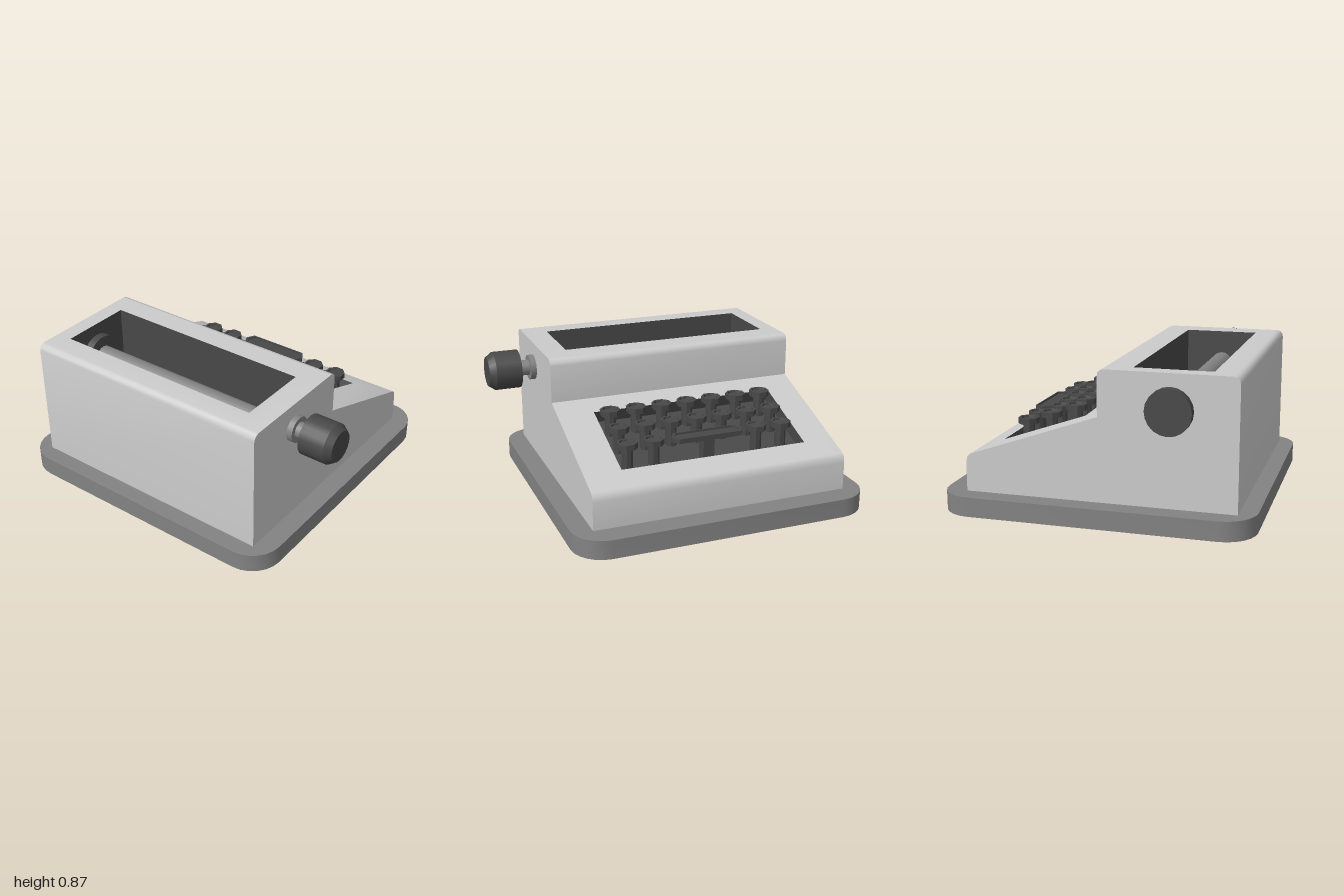
import * as THREE from 'three';
import { mergeGeometries, toCreasedNormals } from 'three/addons/utils/BufferGeometryUtils.js';

const mat = (color, side = THREE.FrontSide) => new THREE.MeshStandardMaterial({ color, side });
const V2 = (p) => new THREE.Vector2(p[0], p[1]);

export function createModel() {
  const model = new THREE.Group();
  const shell = mat(0xcccccc);
  const mid = mat(0x838383);
  const dark = mat(0x484848);
  const lining = mat(0x484848, THREE.DoubleSide);
  const keyMat = mat(0x484848);
  keyMat.flatShading = true;

  const add = (name, geo, material, x = 0, y = 0, z = 0, parent = model) => {
    const mesh = new THREE.Mesh(geo, material);
    mesh.name = name;
    mesh.position.set(x, y, z);
    parent.add(mesh);
    return mesh;
  };

  // Base plate with rounded corners
  const w = 0.91, d = 0.912, r = 0.19;
  const plate = new THREE.Shape();
  plate.absarc(w - r, d - r, r, 0, Math.PI / 2);
  plate.absarc(r - w, d - r, r, Math.PI / 2, Math.PI);
  plate.absarc(r - w, r - d, r, Math.PI, Math.PI * 1.5);
  plate.absarc(w - r, r - d, r, Math.PI * 1.5, Math.PI * 2);
  const plateGeo = new THREE.ExtrudeGeometry(plate, { depth: 0.115, bevelEnabled: false, curveSegments: 3 });
  add('basePlate', toCreasedNormals(plateGeo.rotateX(-Math.PI / 2), 0.7), mid, -0.09, 0, 0);

  // Housing: side profile as (z, y), from the tall end over to the low end
  const xL = -0.88, xR = 0.70;
  const profile = [
    [0.81, 0.115], [0.81, 0.833], [0.805, 0.853], [0.79, 0.868], [0.77, 0.873],
    [0.06, 0.873], [0.04, 0.868], [0.025, 0.853], [0.02, 0.833], [0.02, 0.605],
    [-0.745, 0.337], [-0.762, 0.32], [-0.77, 0.285], [-0.77, 0.115],
  ];
  // Openings, keyed by profile segment: x range and z range
  const openings = { 4: [-0.78, 0.55, 0.65, 0.20], 9: [-0.69, 0.475, -0.11, -0.61] };
  const rect = (Type, x0, x1, s0, s1) =>
    new Type([[x0, s0], [x1, s0], [x1, s1], [x0, s1]].map(V2));

  const skin = [];
  for (let i = 0; i < profile.length - 1; i++) {
    const [az, ay] = profile[i], [bz, by] = profile[i + 1];
    const along = new THREE.Vector3(0, by - ay, bz - az);
    const length = along.length();
    along.normalize();
    const panel = rect(THREE.Shape, xL, xR, 0, length);
    if (openings[i]) {
      const [x0, x1, z0, z1] = openings[i];
      panel.holes.push(rect(THREE.Path, x0, x1, (z0 - az) / along.z, (z1 - az) / along.z));
    }
    const across = new THREE.Vector3(1, 0, 0);
    const basis = new THREE.Matrix4().makeBasis(across, along, across.clone().cross(along));
    skin.push(new THREE.ShapeGeometry(panel).applyMatrix4(basis.setPosition(0, ay, az)));
  }
  for (const s of [1, -1]) {
    const side = new THREE.ShapeGeometry(new THREE.Shape(profile.map(([z, y]) => V2([-s * z, y]))));
    skin.push(side.rotateY(s * Math.PI / 2).translate(s > 0 ? xR : xL, 0, 0));
  }
  add('housing', toCreasedNormals(mergeGeometries(skin), 0.7), shell);

  // Open-topped lining of each opening
  const well = (name, width, depth, length, x, y, z, tilt) => {
    const box = new THREE.BoxGeometry(width, depth, length).translate(0, -depth / 2, 0);
    const index = Array.from(box.index.array);
    index.splice(12, 6); // drop the lid
    box.setIndex(index);
    add(name, box, lining, x, y, z).rotation.x = tilt;
  };
  const slope = Math.atan2(0.268, 0.765);
  well('rollerWell', 1.33, 0.45, 0.45, -0.115, 0.873, 0.425, 0);
  well('keyWell', 1.165, 0.08, 0.5 / Math.cos(slope), -0.1075, 0.472, -0.36, -slope);

  // Roller, its end disc and the turning knob, all lying along x
  const rod = (name, x0, x1, r0, r1, y, material) => add(name,
    new THREE.CylinderGeometry(r1, r0, x1 - x0, 20).rotateZ(-Math.PI / 2),
    material, (x0 + x1) / 2, y, 0.43);
  rod('roller', -0.76, 0.55, 0.066, 0.066, 0.667, mid);
  rod('rollerDisc', -0.93, -0.73, 0.132, 0.132, 0.667, dark);
  rod('knobCollar', 0.69, 0.735, 0.078, 0.078, 0.715, mid);
  rod('knobShaft', 0.73, 0.81, 0.048, 0.048, 0.715, mid);
  rod('knobGrip', 0.80, 0.96, 0.12, 0.12, 0.715, dark);
  rod('knobTip', 0.96, 1.0, 0.12, 0.092, 0.715, dark);

  // Keys: eight-sided dished caps on stems
  const keyGeo = new THREE.LatheGeometry([
    [0.034, -0.165], [0.034, -0.035], [0.062, -0.035], [0.062, 0],
    [0.048, 0], [0.046, -0.012], [0, -0.012],
  ].map(V2), 8, Math.PI / 8);
  const keys = new THREE.Group();
  keys.name = 'keys';
  model.add(keys);
  [[-0.198, 0.6], [-0.353, 0.548], [-0.497, 0.5]].forEach(([z, y], row) => {
    for (let col = 0; col < 7; col++) {
      if (row === 2 && col > 1 && col < 5) continue; // room for the long bar
      add('key', keyGeo, keyMat, -0.583 + col * 0.164, y, z, keys);
    }
  });

  // Long bar with pointed ends, a raised rim and a post
  const hex = (Type, half, tip, depth) => new Type([
    [-half, 0], [-half + tip, -depth], [half - tip, -depth],
    [half, 0], [half - tip, depth], [-half + tip, depth],
  ].map(V2));
  const flat = (shape, depth) =>
    new THREE.ExtrudeGeometry(shape, { depth, bevelEnabled: false }).rotateX(-Math.PI / 2);
  const rim = hex(THREE.Shape, 0.225, 0.03, 0.054);
  rim.holes.push(hex(THREE.Path, 0.208, 0.027, 0.048));
  const bar = new THREE.Group();
  bar.name = 'spaceBar';
  bar.position.set(-0.091, 0, -0.515);
  model.add(bar);
  add('barPlate', flat(hex(THREE.Shape, 0.225, 0.03, 0.054), 0.018), keyMat, 0, 0.47, 0, bar);
  add('barRim', flat(rim, 0.012), keyMat, 0, 0.488, 0, bar);
  add('barPost', new THREE.BoxGeometry(0.07, 0.15, 0.07), keyMat, 0, 0.4, 0, bar);

  return model;
}
